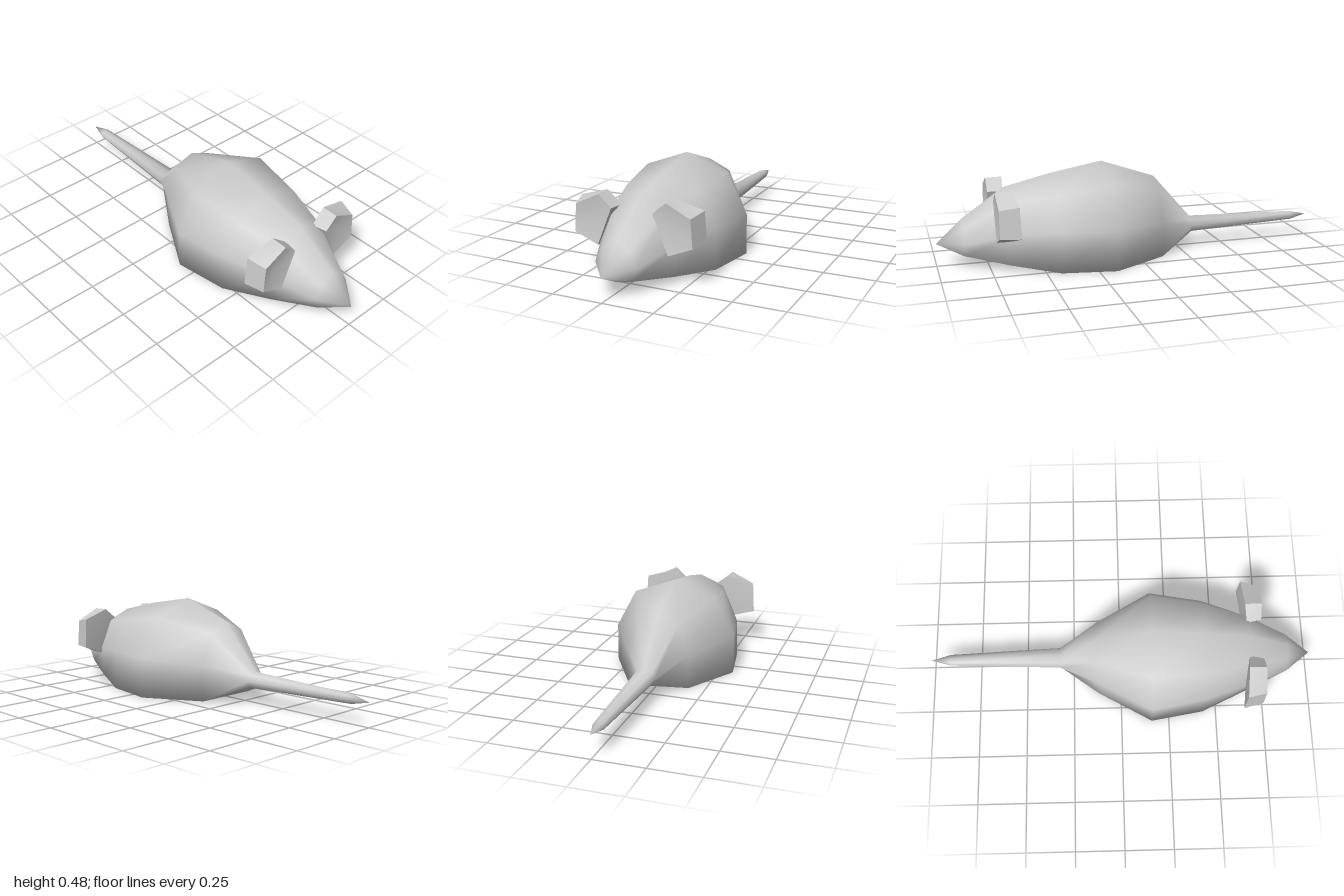
import * as THREE from 'three';
import { mergeVertices, toCreasedNormals } from 'three/addons/utils/BufferGeometryUtils.js';

// Skin closed rings of [x, y, z] points, given from front to back, clockwise seen from the front
function loft(rings) {
  const n = rings[0].length;
  const index = [];
  for (let i = 0; i < rings.length - 1; i++) {
    for (let j = 0; j < n; j++) {
      const k = (j + 1) % n;
      const a = i * n + j, b = i * n + k, c = a + n, d = b + n;
      if (i > 0) index.push(a, b, c);
      if (i < rings.length - 2) index.push(b, d, c);
      if (i === 0) index.push(b, d, c);
      if (i === rings.length - 2 && i === 0) index.push(a, b, c);
    }
  }
  // the first and last rings are single points, so only one triangle per side is needed there
  const used = index.filter((_, q) => {
    const t = q - (q % 3);
    const p = [0, 1, 2].map((s) => rings[Math.floor(index[t + s] / n)][index[t + s] % n].join());
    return new Set(p).size === 3;
  });
  const geometry = new THREE.BufferGeometry();
  geometry.setAttribute('position', new THREE.Float32BufferAttribute(rings.flat(2), 3));
  geometry.setIndex(used);
  const merged = mergeVertices(geometry);
  merged.computeVertexNormals();
  return merged;
}

const point = (p, n) => Array.from({ length: n }, () => p);

// Symmetric eight-sided section from its right half: top, shoulder, side, lower corner, bottom
function section(z, top, shoulder, side, lower, bottom) {
  const half = [shoulder, side, lower];
  return [
    [0, top, z],
    ...half.map(([x, y]) => [x, y, z]),
    [0, bottom, z],
    ...half.slice().reverse().map(([x, y]) => [-x, y, z]),
  ];
}

export function createModel() {
  const group = new THREE.Group();
  const material = new THREE.MeshStandardMaterial({ color: 0xcccccc, side: THREE.DoubleSide });

  // body and tail in one smooth skin, from nose tip to tail tip
  const body = new THREE.Mesh(loft([
    point([0, 0.115, 1], 8),
    section(0.87, 0.235, [0.07, 0.2], [0.105, 0.13], [0.08, 0.065], 0.05),
    section(0.66, 0.38, [0.13, 0.325], [0.195, 0.18], [0.18, 0.03], 0),
    section(0.43, 0.435, [0.19, 0.36], [0.275, 0.2], [0.28, 0], 0),
    section(0.16, 0.483, [0.22, 0.4], [0.325, 0.2], [0.325, 0], 0),
    section(-0.12, 0.387, [0.11, 0.335], [0.168, 0.18], [0.165, 0], 0),
    section(-0.32, 0.157, [0.04, 0.145], [0.055, 0.115], [0.04, 0.083], 0.072),
    section(-0.9, 0.138, [0.02, 0.132], [0.03, 0.115], [0.02, 0.098], 0.092),
    point([0, 0.115, -1], 8),
  ]), material);
  body.name = 'bodyAndTail';
  group.add(body);

  // five-sided ears, slightly dished in front and flared toward the back
  const front = [[0.17, 0.393], [0.29, 0.335], [0.3, 0.2], [0.18, 0.15], [0.105, 0.335]];
  const back = [[0.17, 0.395], [0.315, 0.352], [0.325, 0.2], [0.18, 0.15], [0.09, 0.335]];
  const backZ = [0.64, 0.63, 0.625, 0.65, 0.65];
  for (const s of [1, -1]) {
    const place = (ring) => {
      const r = ring.map(([x, y, z]) => [s * x, y, z]);
      return s > 0 ? r : r.reverse();
    };
    const ear = new THREE.Mesh(toCreasedNormals(loft([
      place(point([0.21, 0.28, 0.705], 5)),
      place(front.map(([x, y]) => [x, y, 0.725])),
      place(back.map(([x, y], i) => [x, y, backZ[i]])),
      place(point([0.21, 0.28, 0.635], 5)),
    ]), 0.9), material);
    ear.name = s > 0 ? 'leftEar' : 'rightEar';
    group.add(ear);
  }
  return group;
}
